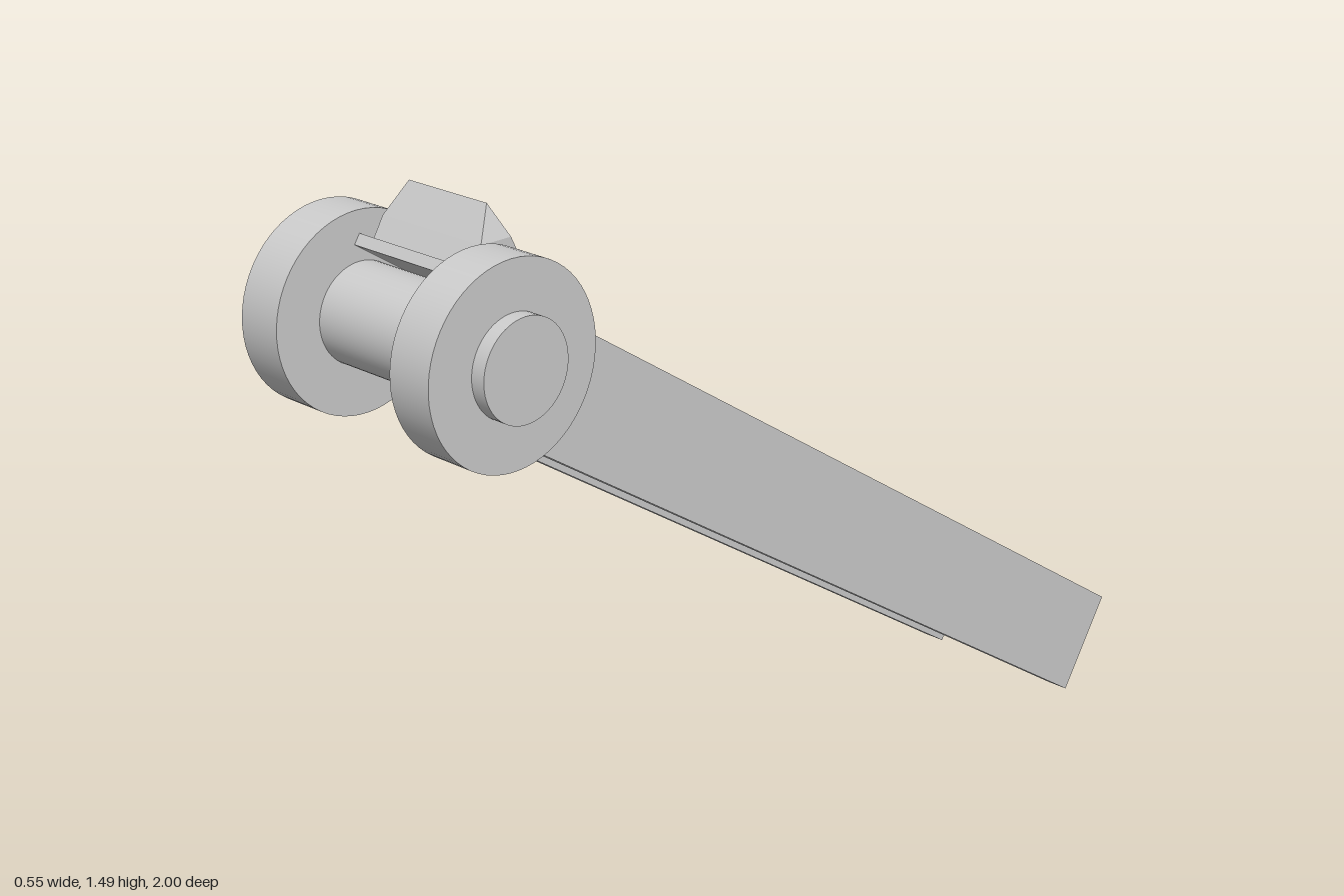
import * as THREE from 'three';
import { ConvexGeometry } from 'three/addons/geometries/ConvexGeometry.js';

export function createModel() {
  const model = new THREE.Group();
  model.name = 'hookLadder';
  const grey = new THREE.MeshStandardMaterial({ color: 0xcccccc });
  grey.name = 'light grey';

  const add = (parent, name, geometry, x = 0, y = 0, z = 0) => {
    const mesh = new THREE.Mesh(geometry, grey);
    mesh.name = name;
    mesh.position.set(x, y, z);
    parent.add(mesh);
    return mesh;
  };
  const disc = (radius, width) =>
    new THREE.CylinderGeometry(radius, radius, width, 64).rotateZ(Math.PI / 2);

  const axleY = 1.26, axleZ = 0.81;

  // Axle running through both wheels, its ends standing out as hubs
  add(model, 'axle', disc(0.095, 0.55), 0, axleY, axleZ);
  for (const [side, label] of [[1, 'left'], [-1, 'right']]) {
    add(model, label + 'Wheel', disc(0.188, 0.096), side * 0.197, axleY, axleZ);
  }

  // Sloping ladder; local z runs up the rails, with the origin on the axle
  const ladder = new THREE.Group();
  ladder.name = 'ladder';
  ladder.position.set(0, axleY, axleZ);
  ladder.rotation.x = -THREE.MathUtils.degToRad(33.7);
  model.add(ladder);

  const railLength = 2.1;
  for (const [side, label] of [[1, 'left'], [-1, 'right']]) {
    add(ladder, label + 'Rail', new THREE.BoxGeometry(0.05, 0.226, railLength),
      side * 0.181, 0, -railLength / 2);
  }
  const rung = new THREE.BoxGeometry(0.33, 0.055, 0.055);
  for (let i = 0; i < 10; i++) {
    add(ladder, 'rung' + (i + 1), rung, 0, 0.0765, -1.632 + i * 0.1664);
  }

  // Thin plate above the axle that carries the hook
  add(ladder, 'hookPlate', new THREE.BoxGeometry(0.32, 0.022, 0.155), 0, 0.112, 0);

  // Wedge-shaped hook with clipped upper corners: half width, y, z
  const profile = [
    [0.1, 1.495, 0.73],
    [0.127, 1.435, 0.77], [0.127, 1.435, 0.702],
    [0.127, 1.395, 0.795],
    [0.127, 1.372, 0.672], [0.127, 1.31, 0.69],
  ];
  const points = profile.flatMap(([x, y, z]) =>
    [new THREE.Vector3(x, y, z), new THREE.Vector3(-x, y, z)]);
  add(model, 'hook', new ConvexGeometry(points));

  return model;
}
